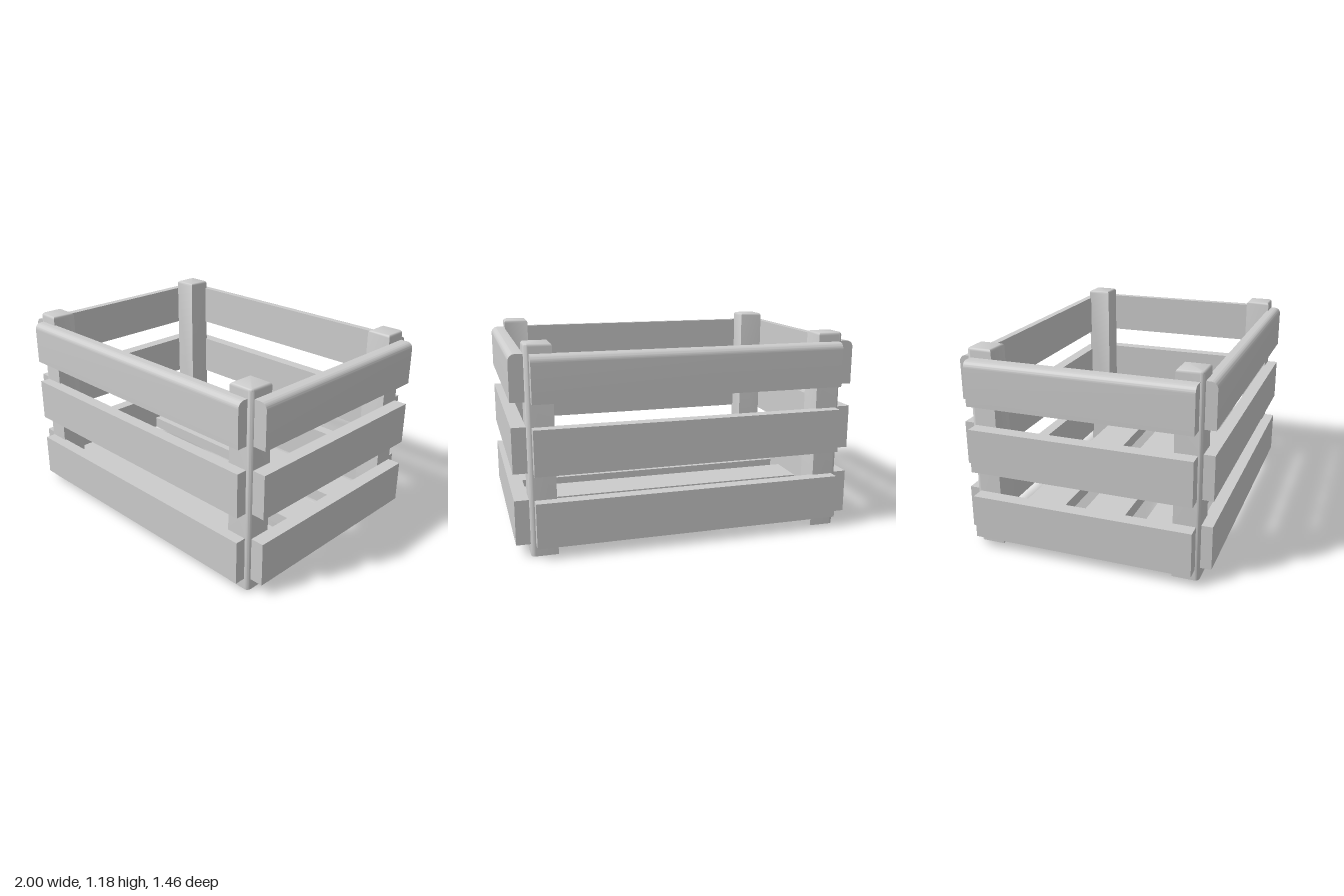
import * as THREE from 'three';
import { toCreasedNormals } from 'three/addons/utils/BufferGeometryUtils.js';

// Rectangle [0,w] x [0,h] whose far corner (w,h) is rounded
function roundedCornerShape(w, h, r) {
  const s = new THREE.Shape();
  s.moveTo(0, 0);
  s.lineTo(w, 0);
  s.lineTo(w, h - r);
  s.absarc(w - r, h - r, r, 0, Math.PI / 2, false);
  s.lineTo(0, h);
  s.closePath();
  return s;
}

// Corner post: softened top rim and outer edge, flat foot at y = 0
function postGeometry(size, height) {
  const r = 0.018;
  const g = new THREE.ExtrudeGeometry(roundedCornerShape(size, size, 0.024), {
    depth: height - r, bevelEnabled: true, bevelThickness: r, bevelSize: r,
    bevelOffset: -r, bevelSegments: 4, curveSegments: 5,
  });
  const p = g.attributes.position;
  for (let i = 0; i < p.count; i++) p.setZ(i, Math.max(0, p.getZ(i)));
  g.rotateX(-Math.PI / 2);
  return toCreasedNormals(g, 0.7);
}

// Plank along z, thickness in +x, with its upper outer edge rounded
function topPlankGeometry(thick, high, length) {
  const g = new THREE.ExtrudeGeometry(roundedCornerShape(thick, high, 0.038), {
    depth: length, bevelEnabled: false, curveSegments: 8,
  });
  g.translate(0, 0, -length / 2);
  return toCreasedNormals(g, 0.7);
}

function plankGeometry(thick, high, length) {
  return new THREE.BoxGeometry(thick, high, length).translate(thick / 2, high / 2, 0);
}

export function createModel() {
  const crate = new THREE.Group();
  crate.name = 'crate';
  const wood = new THREE.MeshStandardMaterial({ color: 0xcccccc });
  wood.name = 'plainGrey';

  const add = (name, geometry, x, y, z, turn = 0) => {
    const mesh = new THREE.Mesh(geometry, wood);
    mesh.name = name;
    mesh.position.set(x, y, z);
    mesh.rotation.y = turn;
    crate.add(mesh);
  };

  // Four corner posts, each turned so the softened edge faces outward
  const post = postGeometry(0.15, 1.18);
  const corners = [
    ['backLeftPost', 1, -1, 0], ['backRightPost', -1, -1, Math.PI / 2],
    ['frontRightPost', -1, 1, Math.PI], ['frontLeftPost', 1, 1, -Math.PI / 2],
  ];
  for (const [name, sx, sz, turn] of corners) add(name, post, sx * 0.77, 0, sz * 0.517, turn);

  // Three rows of planks on every side; the top row has a rounded edge
  const rows = [['lower', 0.067], ['middle', 0.475], ['top', 0.868]];
  for (const [row, y] of rows) {
    const make = row === 'top' ? topPlankGeometry : plankGeometry;
    const side = make(0.08, 0.257, 1.29);
    const long = make(0.073, 0.257, 1.785);
    add(row + 'LeftPlank', side, 0.92, y, 0);
    add(row + 'RightPlank', side, -0.92, y, 0, Math.PI);
    add(row + 'FrontPlank', long, 0, y, 0.657, -Math.PI / 2);
    add(row + 'BackPlank', long, 0, y, -0.657, Math.PI / 2);
  }

  // Floor slats
  const slat = new THREE.BoxGeometry(1.84, 0.075, 0.255);
  for (const z of [-0.388, 0, 0.388]) add('floorSlat', slat, 0, 0.105, z);

  return crate;
}
